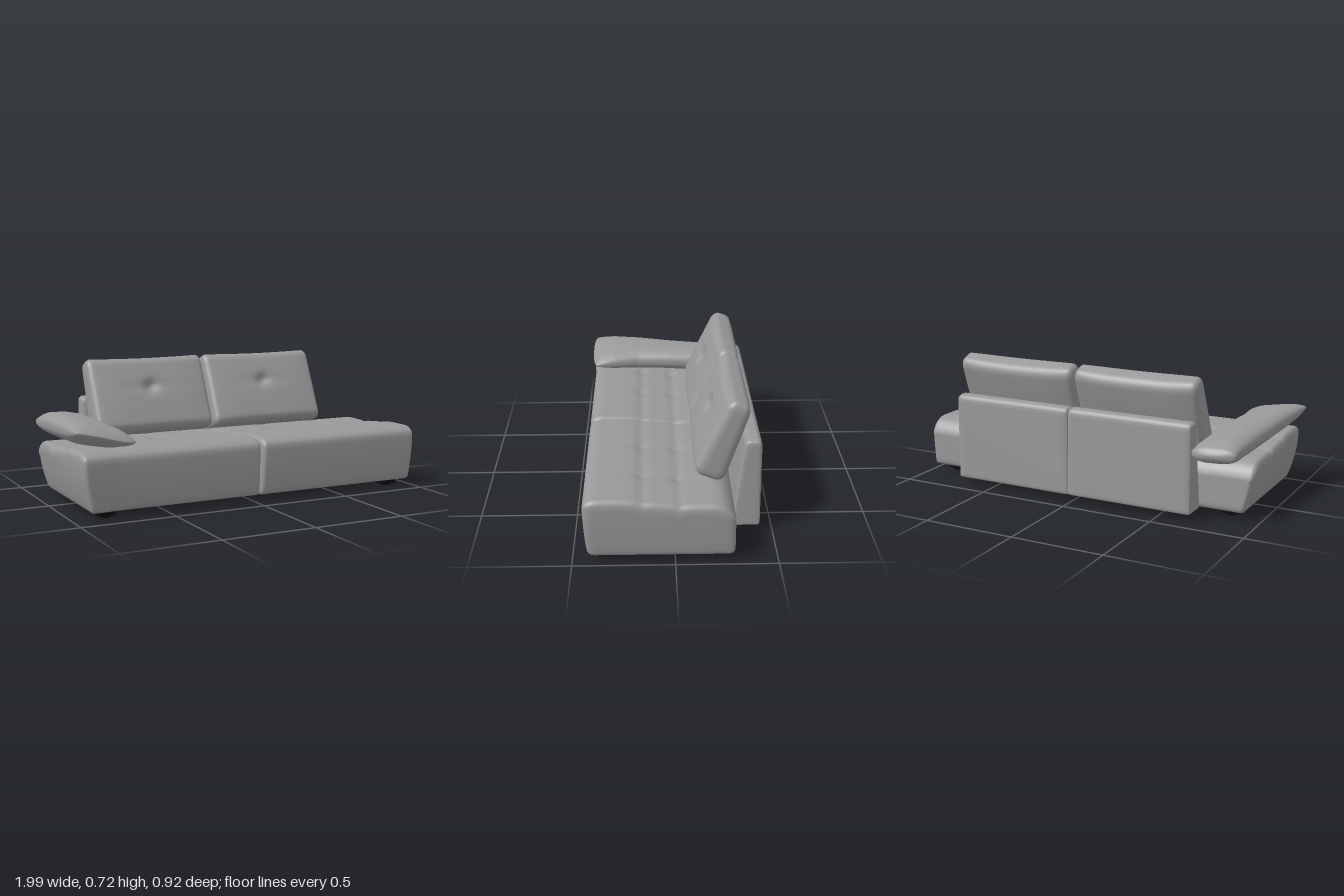
import * as THREE from 'three';
import { mergeVertices } from 'three/addons/utils/BufferGeometryUtils.js';

const { clamp, smoothstep, lerp } = THREE.MathUtils;
const bump = (v, at, width) => Math.exp(-(((v - at) / width) ** 2));

// Smooth interpolation through [position, value] pairs
function along(points) {
  return (t) => {
    let i = 0;
    while (i < points.length - 2 && t > points[i + 1][0]) i++;
    const [a, b] = [points[i], points[i + 1]];
    return lerp(a[1], b[1], clamp((t - a[0]) / (b[0] - a[0]), 0, 1));
  };
}

// Finely divided box with rounded edges, moved to centre and then reshaped by warp(p)
function softBox(size, centre, radii, segments, bottomRound, warp) {
  const geo = new THREE.BoxGeometry(2, 2, 2, ...segments);
  geo.deleteAttribute('uv');
  geo.deleteAttribute('normal');
  const pos = geo.attributes.position;
  const p = new THREE.Vector3();
  const o = new THREE.Vector3();
  for (let i = 0; i < pos.count; i++) {
    p.fromBufferAttribute(pos, i);
    const k = lerp(bottomRound, 1, (p.y + 1) / 2);
    const q = [];
    const r = radii.map((v) => v * k);
    for (let a = 0; a < 3; a++) {
      const c = p.getComponent(a);
      const half = size[a] / 2;
      const v = (0.6 * Math.sin(c * Math.PI / 2) + 0.4 * c) * half; // denser near the edges
      q[a] = clamp(v, r[a] - half, half - r[a]);
      o.setComponent(a, (v - q[a]) / r[a]);
    }
    o.normalize();
    for (let a = 0; a < 3; a++) p.setComponent(a, q[a] + o.getComponent(a) * r[a] + centre[a]);
    if (warp) warp(p);
    pos.setXYZ(i, p.x, p.y, p.z);
  }
  const merged = mergeVertices(geo, 1e-5);
  merged.computeVertexNormals();
  return merged;
}

export function createModel() {
  const model = new THREE.Group();
  model.name = 'sofa';
  const leather = new THREE.MeshStandardMaterial({ color: 0x999999 });
  leather.name = 'grey leather';
  const black = new THREE.MeshStandardMaterial({ color: 0x0a0a0a });
  black.name = 'black feet';

  const add = (name, geo, mat = leather, parent = model) => {
    const mesh = new THREE.Mesh(geo, mat);
    mesh.name = name;
    parent.add(mesh);
    return mesh;
  };

  // Seats: tufted top sloping to the back, tapered outer ends
  const seamsX = [-0.7, -0.38, 0.36, 0.69];
  const seamsZ = [0.16, -0.02];
  const shapeSeat = (p) => {
    const top = smoothstep(p.y, 0.2, 0.31);
    const low = clamp((0.33 - p.y) / 0.3, 0, 1) ** 2;
    let drop = 0.03 * (1 - smoothstep(p.z, -0.06, 0.3));
    drop += 0.045 * clamp((-0.17 - p.z) / 0.12, 0, 1) ** 2;
    for (const z of seamsZ) drop += 0.009 * bump(p.z, z, 0.022);
    for (const x of seamsX) {
      drop += 0.004 * bump(p.x, x, 0.03) * smoothstep(0.36 - p.z, 0, 0.15);
      for (const z of seamsZ) drop += 0.01 * bump(p.x, x, 0.035) * bump(p.z, z, 0.035);
    }
    p.y -= drop * top;
    if (p.z > 0) p.z -= 0.022 * low;
    p.z += 0.01 * smoothstep(-p.x, 0.75, 0.97) * smoothstep(p.z, 0.2, 0.4);
    p.x += 0.06 * low * smoothstep(-p.x, 0.5, 0.97) - 0.02 * low * smoothstep(p.x, 0.6, 1);
  };
  for (const [name, x0, x1] of [['rightSeat', -0.97, 0.019], ['leftSeat', 0.021, 0.992]]) {
    add(name, softBox([x1 - x0, 0.305, 0.735], [(x0 + x1) / 2, 0.188, 0.0775],
      [0.025, 0.05, 0.07], [56, 16, 56], 0.5, shapeSeat));
  }

  // Backrest panels: front face leans back, narrow rounded top
  const shapePanel = (p) => {
    const t = clamp((p.y - 0.04) / 0.47, 0, 1);
    p.z -= 0.06 * t * clamp((p.z + 0.435) / 0.145, 0, 1);
  };
  for (const [name, x0, x1] of [['rightBackPanel', -0.685, 0.01], ['leftBackPanel', 0.01, 0.7]]) {
    add(name, softBox([x1 - x0, 0.472, 0.145], [(x0 + x1) / 2, 0.275, -0.3625],
      [0.015, 0.035, 0.05], [20, 20, 16], 0.35, shapePanel));
  }

  // Back cushions: puffed, thinner at the top, one tufting dimple in front
  const shapeCushion = (p) => {
    const u = p.x / 0.348;
    const v = p.y / 0.215;
    const puff = (1 - u ** 4) * (1 - 0.5 * v * v);
    p.z *= lerp(0.86, 0.6, (v + 1) / 2) + 0.22 * puff;
    if (p.z > 0) p.z -= 0.025 * bump(p.x, 0, 0.035) * bump(p.y, 0.03, 0.035)
      + 0.006 * bump(p.y, 0.03, 0.03) * bump(p.x, 0, 0.15);
    p.y -= 0.008 * (1 - u * u) * smoothstep(v, 0.6, 1);
  };
  for (const [name, x] of [['rightBackCushion', -0.337], ['leftBackCushion', 0.369]]) {
    const cushion = add(name, softBox([0.696, 0.43, 0.18], [0, 0, 0],
      [0.03, 0.05, 0.06], [44, 36, 16], 0.9, shapeCushion));
    cushion.position.set(x, 0.513, -0.248);
    cushion.rotation.x = -0.385;
  }

  // Armrest pillow: runs front to back, tilted outward, pinched at both ends
  const outerX = along([[-0.46, -0.89], [-0.44, -0.925], [-0.1, -0.95], [0.1, -0.97], [0.35, -0.998], [0.43, -1], [0.458, -0.975]]);
  const innerX = along([[-0.46, -0.72], [-0.43, -0.69], [0, -0.705], [0.18, -0.715], [0.38, -0.685], [0.43, -0.685], [0.458, -0.71]]);
  const height = along([[-0.46, 0.04], [-0.44, 0.075], [-0.38, 0.115], [-0.2, 0.13], [0.2, 0.125], [0.33, 0.11], [0.41, 0.07], [0.458, 0.015]]);
  const middle = along([[-0.46, 0.37], [-0.2, 0.385], [0.1, 0.4], [0.35, 0.408], [0.458, 0.41]]);
  const tilt = along([[-0.46, 0.005], [0, 0.01], [0.3, 0.025], [0.458, 0.035]]);
  add('armrest', softBox([2, 2, 0.918], [0, 0, -0.001], [0.75, 0.9, 0.02], [28, 20, 60], 1, (p) => {
    const { x, y, z } = p;
    p.x = lerp(outerX(z), innerX(z), (x + 1) / 2);
    p.y = middle(z) - x * tilt(z) + y * height(z) / 2;
  }));

  // Foot rails with a tapered foot at each end
  for (const [name, x] of [['rightFootRail', -0.82], ['leftFootRail', 0.87]]) {
    const rail = new THREE.Group();
    rail.name = name;
    rail.position.x = x;
    model.add(rail);
    const bar = add('bar', new THREE.BoxGeometry(0.085, 0.035, 0.61), black, rail);
    bar.position.set(0, 0.0275, 0.075);
    for (const z of [0.345, -0.2]) {
      const foot = add('foot', new THREE.CylinderGeometry(0.035, 0.024, 0.03, 20), black, rail);
      foot.position.set(0, 0.015, z);
    }
  }
  return model;
}
